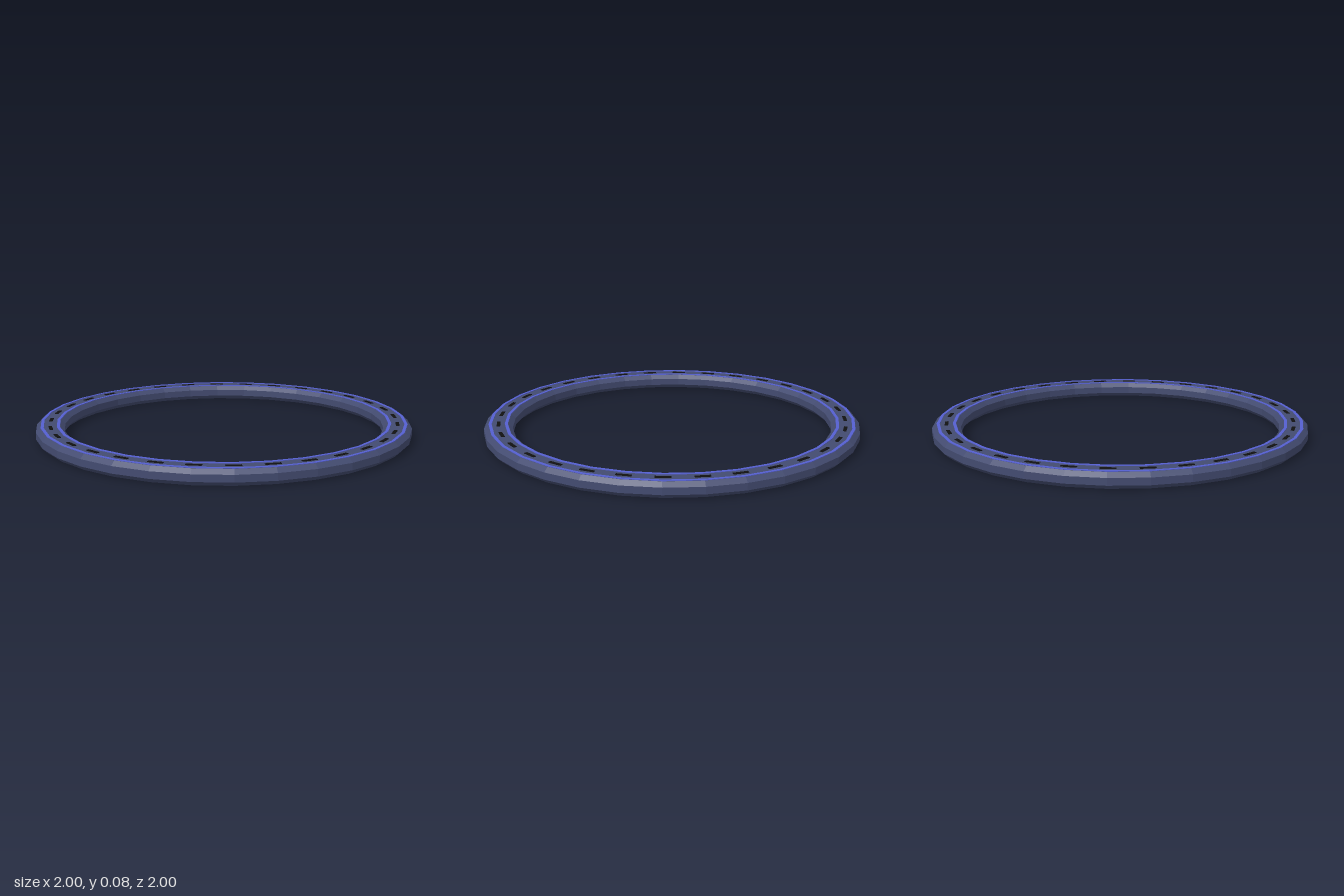
import * as THREE from 'three';

const SIDES = 32;
const TOP = 0.079;

// Closed profile of [radius, height] pairs, counter-clockwise, swept around y
function ring(name, profile, material) {
  const points = [...profile, profile[0]].map(([r, y]) => new THREE.Vector2(r, y));
  const mesh = new THREE.Mesh(new THREE.LatheGeometry(points, SIDES), material);
  mesh.name = name;
  return mesh;
}

export function createModel() {
  const group = new THREE.Group();
  group.name = 'ringTrack';
  const paint = (color) => new THREE.MeshStandardMaterial({ color, flatShading: true });
  const bodyMat = paint(0x434b70);
  const stripMat = paint(0x5560d0);
  const dashMat = paint(0x111111);

  // Chamfered body
  group.add(ring('body', [
    [0.873, 0], [0.977, 0], [1, 0.022], [1, 0.058],
    [0.977, TOP], [0.873, TOP], [0.85, 0.058], [0.85, 0.022],
  ], bodyMat));

  // Thin edge strips either side of the lane
  for (const [name, r] of [['outerStrip', 0.967], ['innerStrip', 0.883]]) {
    group.add(ring(name, [
      [r - 0.008, TOP - 0.004], [r + 0.008, TOP - 0.004],
      [r + 0.008, TOP + 0.003], [r - 0.008, TOP + 0.003],
    ], stripMat));
  }

  // Centre-line dashes
  const dashes = new THREE.Group();
  dashes.name = 'laneDashes';
  const dashGeo = new THREE.BoxGeometry(0.076, 0.007, 0.018);
  for (let i = 0; i < SIDES; i++) {
    const a = (i / SIDES) * Math.PI * 2;
    const dash = new THREE.Mesh(dashGeo, dashMat);
    dash.name = 'laneDash';
    dash.position.set(Math.sin(a) * 0.923, TOP - 0.0005, Math.cos(a) * 0.923);
    dash.rotation.y = a;
    dashes.add(dash);
  }
  group.add(dashes);
  return group;
}
